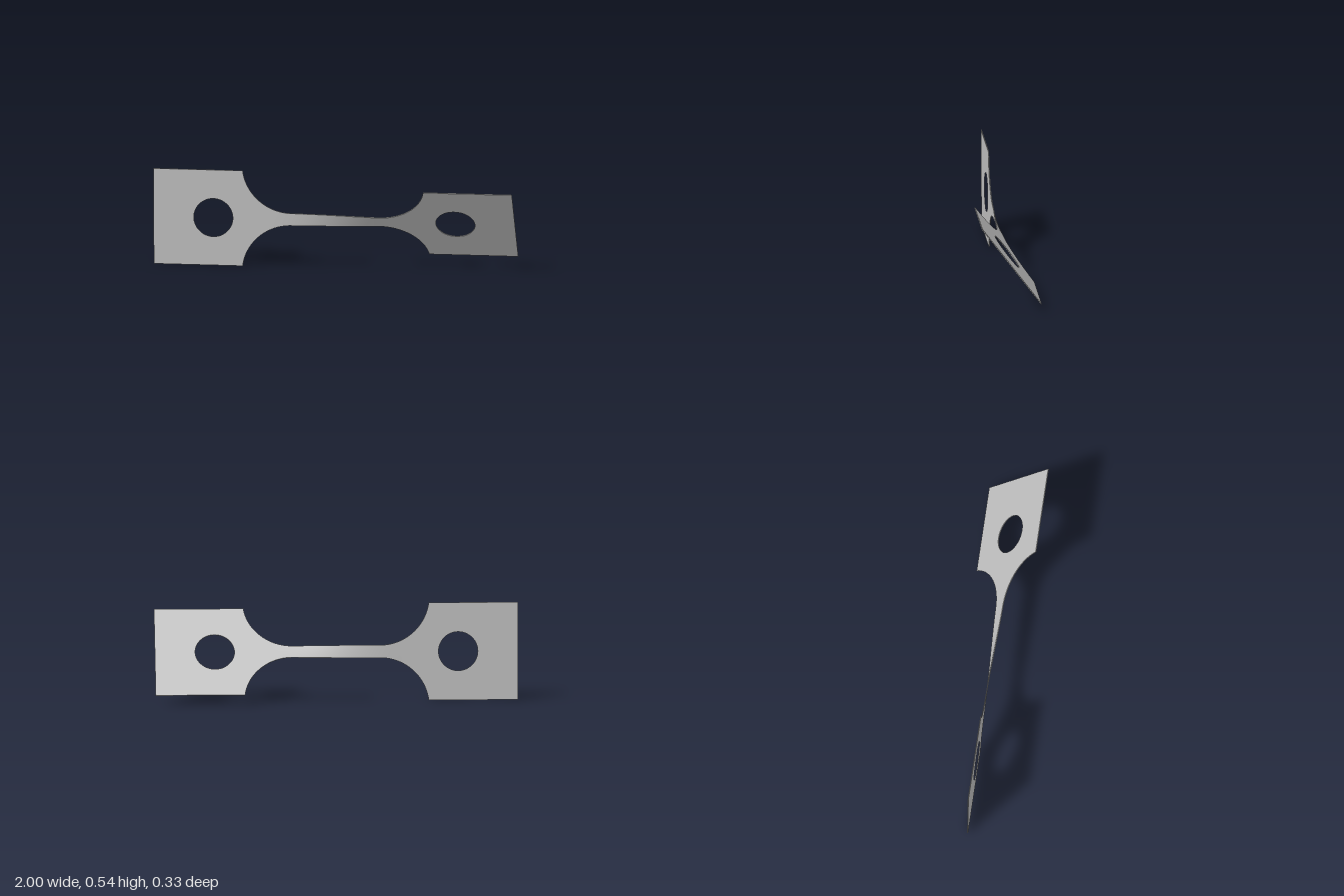
import * as THREE from 'three';

const CENTER_Y = 0.271, HALF = 0.271, THICK = 0.005;
const GAUGE_END = 0.24, GAUGE_HALF = 0.035, FILLET = 0.27, FILLET_SWEEP = 1.444;
const GRIP_START = GAUGE_END + FILLET * Math.sin(FILLET_SWEEP);
const LEAN_START = 0.006, LEAN_END = 0.649, TWIST_END = 0.36;

// lean of the strip about the x axis, easing into the flat grips
function lean(x) {
  const t = THREE.MathUtils.clamp(x / TWIST_END, -1, 1);
  return THREE.MathUtils.lerp(LEAN_START, LEAN_END, 0.5 + 0.5 * Math.sin(t * Math.PI / 2));
}

// flat square end with a round hole
function makeGrip(side, material) {
  const x0 = side * GRIP_START, x1 = side;
  const shape = new THREE.Shape([
    new THREE.Vector2(x0, -HALF), new THREE.Vector2(x1, -HALF),
    new THREE.Vector2(x1, HALF), new THREE.Vector2(x0, HALF),
  ]);
  const hole = new THREE.Path();
  hole.absarc(side * 0.67, 0, 0.108, 0, Math.PI * 2, true);
  shape.holes.push(hole);
  const geometry = new THREE.ExtrudeGeometry(shape, { depth: THICK, bevelEnabled: false, curveSegments: 48 });
  geometry.translate(0, 0, -THICK / 2);
  const grip = new THREE.Mesh(geometry, material);
  grip.rotation.x = lean(side);
  return grip;
}

// narrow twisted gauge with a fillet flaring out at each end
function makeNeck(material) {
  const geometry = new THREE.BoxGeometry(2, 2, THICK, 120, 8, 1);
  const p = geometry.attributes.position;
  for (let i = 0; i < p.count; i++) {
    const u = p.getX(i), a = Math.abs(u);
    let x = u * 2 * GAUGE_END, half = GAUGE_HALF;
    if (a > 0.5) {
      const theta = (a - 0.5) * 2 * FILLET_SWEEP;
      x = Math.sign(u) * (GAUGE_END + FILLET * Math.sin(theta));
      half = GAUGE_HALF + FILLET * (1 - Math.cos(theta));
    }
    const y = p.getY(i) * half, z = p.getZ(i), r = lean(x);
    p.setXYZ(i, x, y * Math.cos(r) - z * Math.sin(r), y * Math.sin(r) + z * Math.cos(r));
  }
  geometry.computeVertexNormals();
  return new THREE.Mesh(geometry, material);
}

export function createModel() {
  const metal = new THREE.MeshStandardMaterial({ color: 0xbfbfbf });
  metal.name = 'grey metal';
  const model = new THREE.Group();
  model.name = 'twisted test strip';

  const neck = makeNeck(metal);
  neck.name = 'twistedNeck';
  const rightGrip = makeGrip(-1, metal);
  rightGrip.name = 'rightGrip';
  const leftGrip = makeGrip(1, metal);
  leftGrip.name = 'leftGrip';

  model.add(neck, rightGrip, leftGrip);
  for (const part of model.children) part.position.y = CENTER_Y;
  return model;
}
